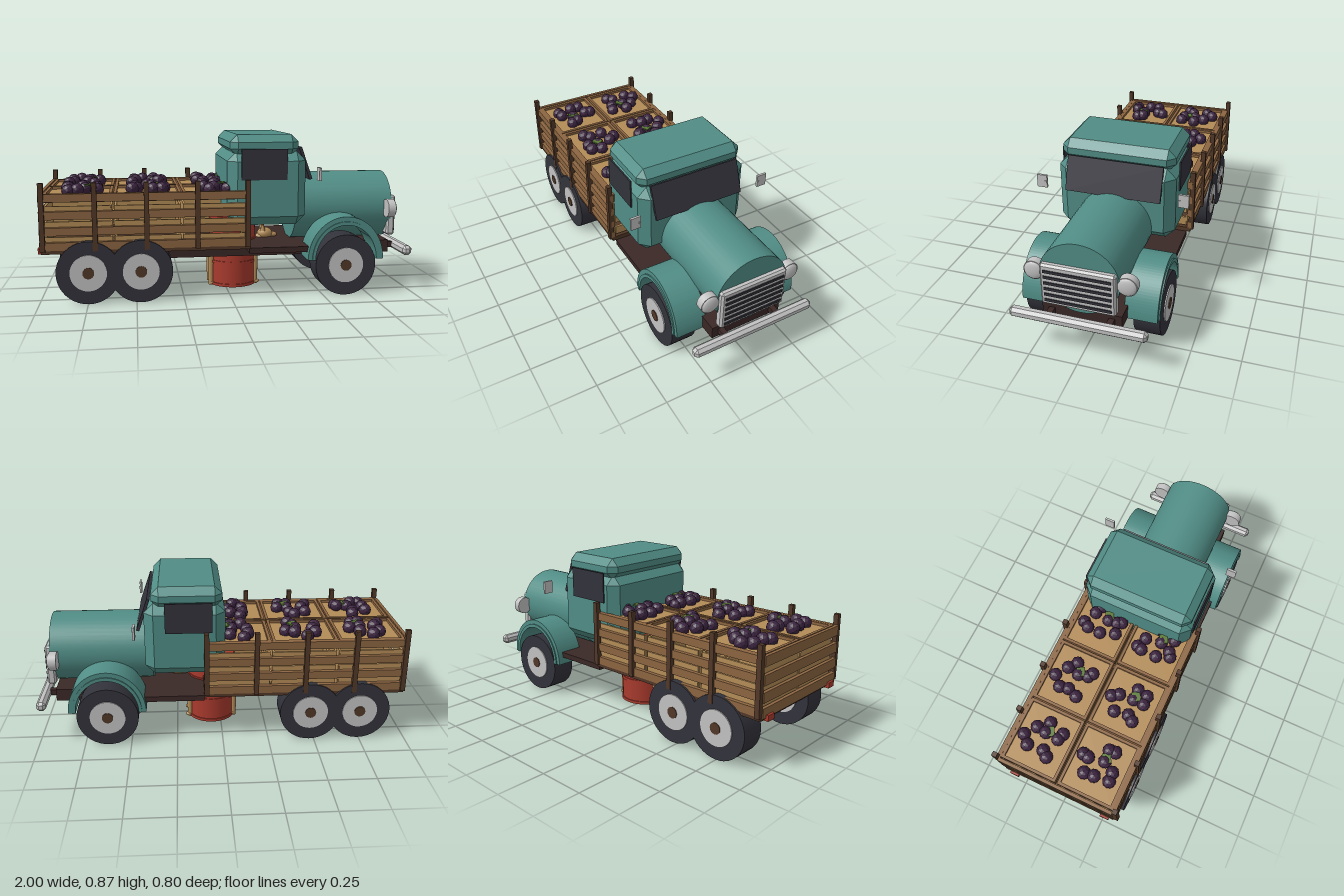
import * as THREE from 'three';
import { ConvexGeometry } from 'three/addons/geometries/ConvexGeometry.js';

const mat = (name, color, extra = {}) => {
  const m = new THREE.MeshStandardMaterial({ color, ...extra });
  m.name = name;
  return m;
};

export function createModel() {
  const truck = new THREE.Group();
  truck.name = 'truck';
  const M = {
    teal: mat('teal paint', 0x518d86, { side: THREE.DoubleSide }),
    dark: mat('rubber and glass', 0x32323b),
    metal: mat('light metal', 0xc2c2c2),
    red: mat('red paint', 0xa93a2d),
    board: mat('brown board', 0x8c6541),
    tan: mat('tan wood', 0xb38c57),
    post: mat('dark wood', 0x523828),
    plum: mat('plum fruit', 0x3c2440, { flatShading: true }),
    frame: mat('frame brown', 0x3a2826),
    leaf: mat('leaf green', 0x5a7a35),
  };

  const add = (name, geo, m, x = 0, y = 0, z = 0, parent = truck) => {
    const mesh = new THREE.Mesh(geo, m);
    mesh.name = name;
    mesh.position.set(x, y, z);
    parent.add(mesh);
    return mesh;
  };
  const box = (name, m, x0, x1, y0, y1, z0, z1, parent) =>
    add(name, new THREE.BoxGeometry(x1 - x0, y1 - y0, z1 - z0), m, (x0 + x1) / 2, (y0 + y1) / 2, (z0 + z1) / 2, parent);
  // Box with every edge chamfered by b
  const chamferBox = (name, m, x0, x1, y0, y1, z0, z1, b) => {
    const h = [(x1 - x0) / 2, (y1 - y0) / 2, (z1 - z0) / 2];
    const pts = [];
    for (const sx of [-1, 1]) for (const sy of [-1, 1]) for (const sz of [-1, 1])
      for (let a = 0; a < 3; a++) {
        const c = h.map((v, i) => (i === a ? v : v - b));
        pts.push(new THREE.Vector3(sx * c[0], sy * c[1], sz * c[2]));
      }
    return add(name, new ConvexGeometry(pts), m, (x0 + x1) / 2, (y0 + y1) / 2, (z0 + z1) / 2);
  };
  const cylX = (r, len, n = 32) => new THREE.CylinderGeometry(r, r, len, n).rotateZ(-Math.PI / 2);
  const cylZ = (r, len, n = 32) => new THREE.CylinderGeometry(r, r, len, n).rotateX(Math.PI / 2);
  const ball = (rx, ry, rz) => new THREE.SphereGeometry(1, 16, 12).scale(rx, ry, rz);

  // Chassis
  box('chassis', M.frame, -0.9, 0.91, 0.197, 0.265, -0.2, 0.2);
  box('bedFloor', M.post, -0.98, 0.1, 0.265, 0.29, -0.335, 0.335);

  // Wheels
  for (const x of [0.62, -0.475, -0.745]) for (const s of [-1, 1]) {
    const wheel = new THREE.Group();
    wheel.name = 'wheel';
    wheel.position.set(x, 0.165, s * 0.282);
    truck.add(wheel);
    add('tyre', cylZ(0.165, 0.134, 40), M.dark, 0, 0, 0, wheel);
    add('rim', cylZ(0.095, 0.146), M.metal, 0, 0, 0, wheel);
    add('hub', cylZ(0.03, 0.154, 16), M.post, 0, 0, 0, wheel);
  }

  // Hood, grille and bumper
  add('hood', cylX(0.19, 0.55, 48).scale(1, 1, 1.04), M.teal, 0.65, 0.448, 0);
  chamferBox('grille', M.metal, 0.905, 0.952, 0.29, 0.515, -0.185, 0.185, 0.01);
  for (let i = 0; i < 6; i++) {
    const y = 0.32 + i * 0.032;
    box('grilleSlot', M.dark, 0.948, 0.957, y - 0.007, y + 0.007, -0.165, 0.165);
  }
  chamferBox('bumper', M.metal, 0.945, 0.996, 0.204, 0.256, -0.342, 0.342, 0.015);
  for (const s of [-1, 1]) box('bumperBracket', M.frame, 0.88, 0.95, 0.215, 0.245, s * 0.15 - 0.015, s * 0.15 + 0.015);

  // Fenders: half rings with a raised lip
  const arch = (ro, ri, depth) => {
    const shape = new THREE.Shape();
    shape.moveTo(ro, 0);
    shape.absarc(0, 0, ro, 0, Math.PI, false);
    shape.lineTo(-ri, 0);
    shape.absarc(0, 0, ri, Math.PI, 0, true);
    return new THREE.ExtrudeGeometry(shape, { depth, bevelEnabled: false, curveSegments: 24 }).scale(1, 1.12, 1).translate(0, 0, -depth / 2);
  };
  for (const s of [-1, 1]) {
    add('fender', arch(0.208, 0.168, 0.165), M.teal, 0.62, 0.195, s * 0.265);
    add('fenderLip', arch(0.185, 0.168, 0.01), M.teal, 0.62, 0.195, s * 0.349);
    add('headlight', cylX(0.05, 0.04), M.metal, 0.9, 0.45, s * 0.228);
    add('lens', ball(0.015, 0.047, 0.047), M.metal, 0.92, 0.45, s * 0.228);
    box('runningBoard', M.frame, 0.1, 0.44, 0.235, 0.265, s * 0.255 - 0.06, s * 0.255 + 0.06);
  }

  // Cab
  chamferBox('cabBody', M.teal, -0.015, 0.41, 0.38, 0.775, -0.31, 0.31, 0.05);
  chamferBox('roof', M.teal, 0, 0.37, 0.75, 0.865, -0.3, 0.3, 0.04);
  const screen = add('windscreen', new THREE.BoxGeometry(0.016, 0.182, 0.5), M.dark, 0.414, 0.707, 0);
  screen.rotation.z = 0.34;
  for (const s of [-1, 1]) {
    box('sideWindow', M.dark, 0.055, 0.3, 0.628, 0.79, s * 0.313 - 0.004, s * 0.313 + 0.004);
    box('mirror', M.metal, 0.45, 0.462, 0.628, 0.697, s * 0.371 - 0.027, s * 0.371 + 0.027);
    box('mirrorKnob', M.metal, 0.46, 0.466, 0.655, 0.668, s * 0.35 - 0.005, s * 0.35 + 0.005);
  }

  // Stake bed
  const railY = [0.305, 0.382, 0.465, 0.555];
  for (const s of [-1, 1]) {
    for (const y of railY) box('sideRail', M.board, -0.98, 0.1, y - 0.021, y + 0.021, s * 0.328 - 0.011, s * 0.328 + 0.011);
    for (let i = 0; i < 5; i++) {
      const x = -0.97 + i * 0.264;
      box('stake', M.post, x - 0.013, x + 0.013, 0.28, 0.632, s * 0.338 - 0.013, s * 0.338 + 0.013);
    }
    box('tailLight', M.red, -1, -0.975, 0.26, 0.29, s * 0.275 - 0.025, s * 0.275 + 0.025);
  }
  for (const y of railY) box('tailRail', M.board, -0.988, -0.97, y - 0.03, y + 0.021, -0.325, 0.325);

  // Crates of fruit
  let seed = 7;
  const rnd = () => (seed = (seed * 16807) % 2147483647) / 2147483647;
  for (const x of [-0.79, -0.435, -0.08]) for (const s of [-1, 1]) {
    const crate = new THREE.Group();
    crate.name = 'crate';
    crate.position.set(x, 0, s * 0.162);
    truck.add(crate);
    const w = 0.166, d = 0.148;
    for (const y of [0.325, 0.405, 0.485]) for (const k of [-1, 1]) {
      box('crateSlat', M.tan, -w, w, y - 0.025, y + 0.025, k * d - 0.006, k * d + 0.006, crate);
      box('crateEnd', M.tan, k * w - 0.006, k * w + 0.006, y - 0.025, y + 0.025, -d, d, crate);
    }
    box('crateTop', M.tan, -w, w, 0.535, 0.56, -d, d, crate);
    for (const k of [-1, 1]) {
      box('crateRim', M.board, -w - 0.008, w + 0.008, 0.53, 0.575, k * d - 0.008, k * d + 0.008, crate);
      box('crateRim', M.board, k * w - 0.008, k * w + 0.008, 0.53, 0.575, -d, d, crate);
    }
    const plum = new THREE.IcosahedronGeometry(0.036, 1);
    for (let i = 0; i < 9; i++) {
      const a = i * 2.4 + rnd() * 0.8, r = 0.035 + 0.075 * Math.sqrt(i / 9);
      add('plum', plum, M.plum, Math.cos(a) * r, 0.575 + rnd() * 0.012, Math.sin(a) * r, crate);
    }
    box('leaf', M.leaf, 0.02, 0.07, 0.6, 0.607, 0, 0.045, crate).rotation.y = 0.5;
  }

  // Barrel
  add('barrel', new THREE.CylinderGeometry(0.131, 0.131, 0.4, 32), M.red, 0.05, 0.2, 0);
  for (const y of [0.009, 0.138, 0.265, 0.392])
    add('barrelBand', new THREE.CylinderGeometry(0.136, 0.136, 0.016, 32), M.red, 0.05, y, 0);

  // Dog
  const dog = new THREE.Group();
  dog.name = 'dog';
  truck.add(dog);
  add('dogBody', ball(0.15, 0.052, 0.05), M.tan, 0.05, 0.203, 0, dog);
  for (const x of [-0.077, 0.175]) for (const s of [-1, 1]) {
    add('dogLeg', new THREE.CylinderGeometry(0.019, 0.014, 0.2, 12), M.tan, x, 0.1, s * 0.047, dog);
    add('dogPaw', ball(0.02, 0.012, 0.017), M.tan, x + 0.006, 0.012, s * 0.047, dog);
  }
  add('dogHead', ball(0.045, 0.035, 0.04), M.tan, 0.24, 0.282, 0, dog);
  add('dogMuzzle', ball(0.035, 0.018, 0.02), M.tan, 0.278, 0.274, 0, dog);
  const neck = add('dogNeck', new THREE.CylinderGeometry(0.028, 0.036, 0.1, 12), M.tan, 0.2, 0.243, 0, dog);
  neck.rotation.z = -0.7;
  for (const s of [-1, 1]) add('dogEar', new THREE.ConeGeometry(0.015, 0.06, 8), M.tan, 0.225, 0.33, s * 0.025, dog);
  const tail = add('dogTail', new THREE.ConeGeometry(0.012, 0.1, 8), M.tan, -0.1, 0.225, 0, dog);
  tail.rotation.z = 0.6;

  return truck;
}
